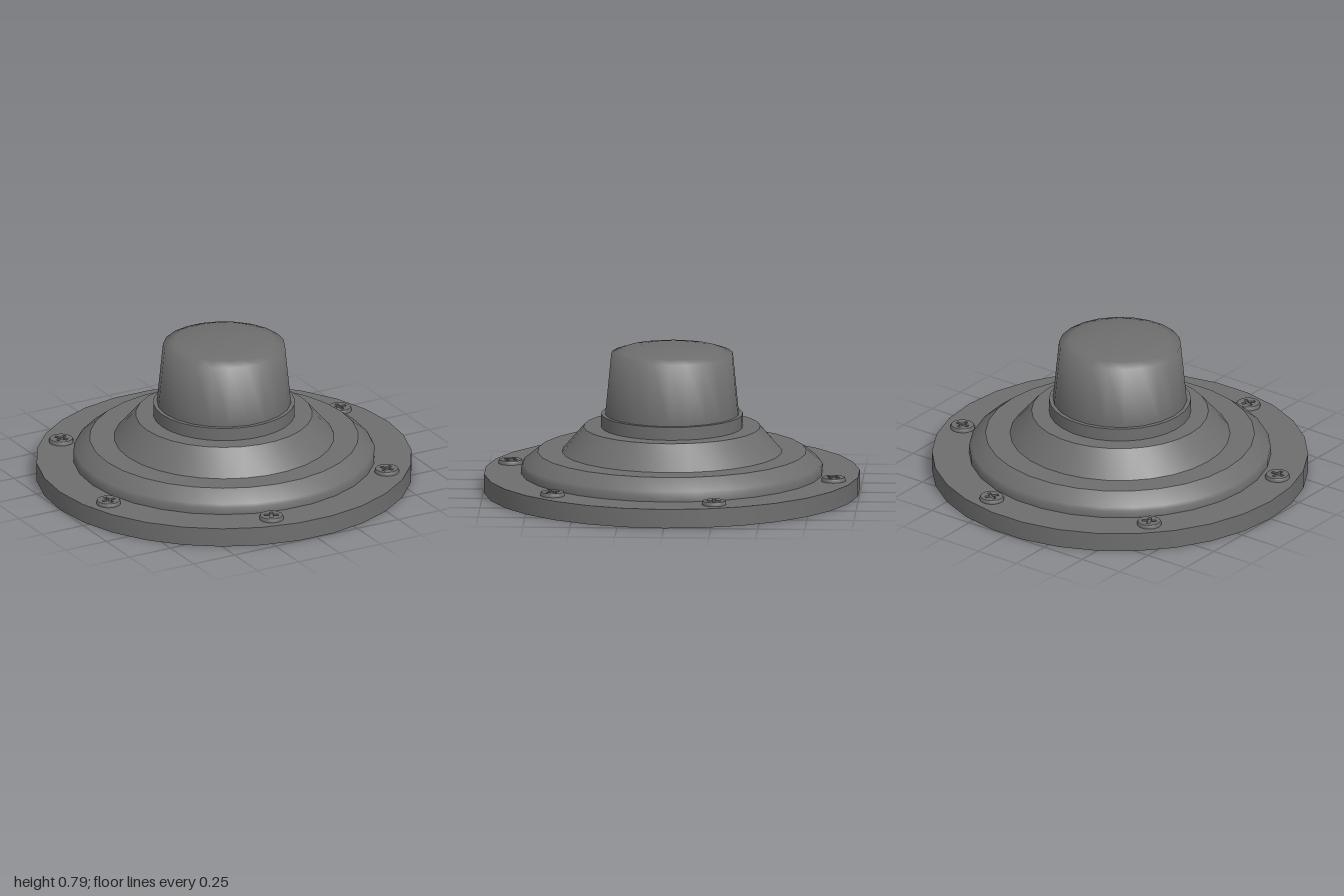
import * as THREE from 'three';
import { toCreasedNormals } from 'three/addons/utils/BufferGeometryUtils.js';

const dark = new THREE.MeshStandardMaterial({ color: 0x6e6e6e });
const darkShell = new THREE.MeshStandardMaterial({ color: 0x6e6e6e, side: THREE.DoubleSide });

// Revolve a [radius, height] profile, keeping rings sharper than the crease angle crisp
function turned(name, profile, sides, material, crease = 0.6) {
  const points = profile.map(([r, y]) => new THREE.Vector2(r, y));
  const lathe = new THREE.LatheGeometry(points, sides, Math.PI / 2);
  const mesh = new THREE.Mesh(toCreasedNormals(lathe, crease), material);
  mesh.name = name;
  return mesh;
}

// Cross outline: half length a, half width b
function crossPath(a, b) {
  const corners = [[a, -b], [a, b], [b, b], [b, a], [-b, a], [-b, b],
    [-a, b], [-a, -b], [-b, -b], [-b, -a], [b, -a], [b, -b]];
  return new THREE.Path(corners.map(([x, y]) => new THREE.Vector2(x, y)));
}

function createScrew() {
  const screw = new THREE.Group();

  // Softly rounded rim, with a pointed tip below the flange
  screw.add(turned('screwBody', [
    [0, 0.045], [0.055, 0.095], [0.065, 0.1], [0.065, 0.113], [0.06, 0.122],
  ], 18, dark, 0.9));

  // Top face pierced by the cross recess
  const face = new THREE.Shape().absarc(0, 0, 0.06, 0, Math.PI * 2);
  face.holes.push(crossPath(0.038, 0.009));
  const top = new THREE.Mesh(
    new THREE.ExtrudeGeometry(face, { depth: 0.012, bevelEnabled: false, curveSegments: 9 }), dark);
  top.name = 'screwTop';
  top.rotation.x = -Math.PI / 2;
  top.position.y = 0.11;
  screw.add(top);

  // Floor of the recess
  const floor = new THREE.Mesh(new THREE.CircleGeometry(0.055, 18), dark);
  floor.name = 'recessFloor';
  floor.rotation.x = -Math.PI / 2;
  floor.position.y = 0.111;
  screw.add(floor);
  return screw;
}

export function createModel() {
  const model = new THREE.Group();
  model.name = 'flangedButton';

  // Hollow stepped housing with its flange skirt, open underneath
  model.add(turned('housing', [
    [1, 0], [1, 0.102], [0.803, 0.102], [0.803, 0.138], [0.792, 0.156],
    [0.715, 0.217], [0.585, 0.217], [0.47, 0.35], [0.37, 0.35],
  ], 30, darkShell));

  // Collar around the knob
  model.add(turned('collar', [[0.377, 0.32], [0.377, 0.42], [0.345, 0.42]], 30, darkShell));

  // Tapered knob, its rim blending softly into a shallow dome
  model.add(turned('knob', [
    [0, 0.24], [0.342, 0.24], [0.357, 0.42], [0.325, 0.745], [0.27, 0.764],
    [0.19, 0.777], [0.1, 0.784], [0, 0.787],
  ], 22, dark, 1.25));

  // Six screws around the flange
  const start = THREE.MathUtils.degToRad(-17);
  for (let i = 0; i < 6; i++) {
    const mount = new THREE.Group();
    mount.name = `screw${i + 1}`;
    const screw = createScrew();
    screw.position.set(0.89 * Math.cos(start), 0, 0.89 * Math.sin(start));
    mount.add(screw);
    mount.rotation.y = -i * Math.PI / 3;
    model.add(mount);
  }
  return model;
}
